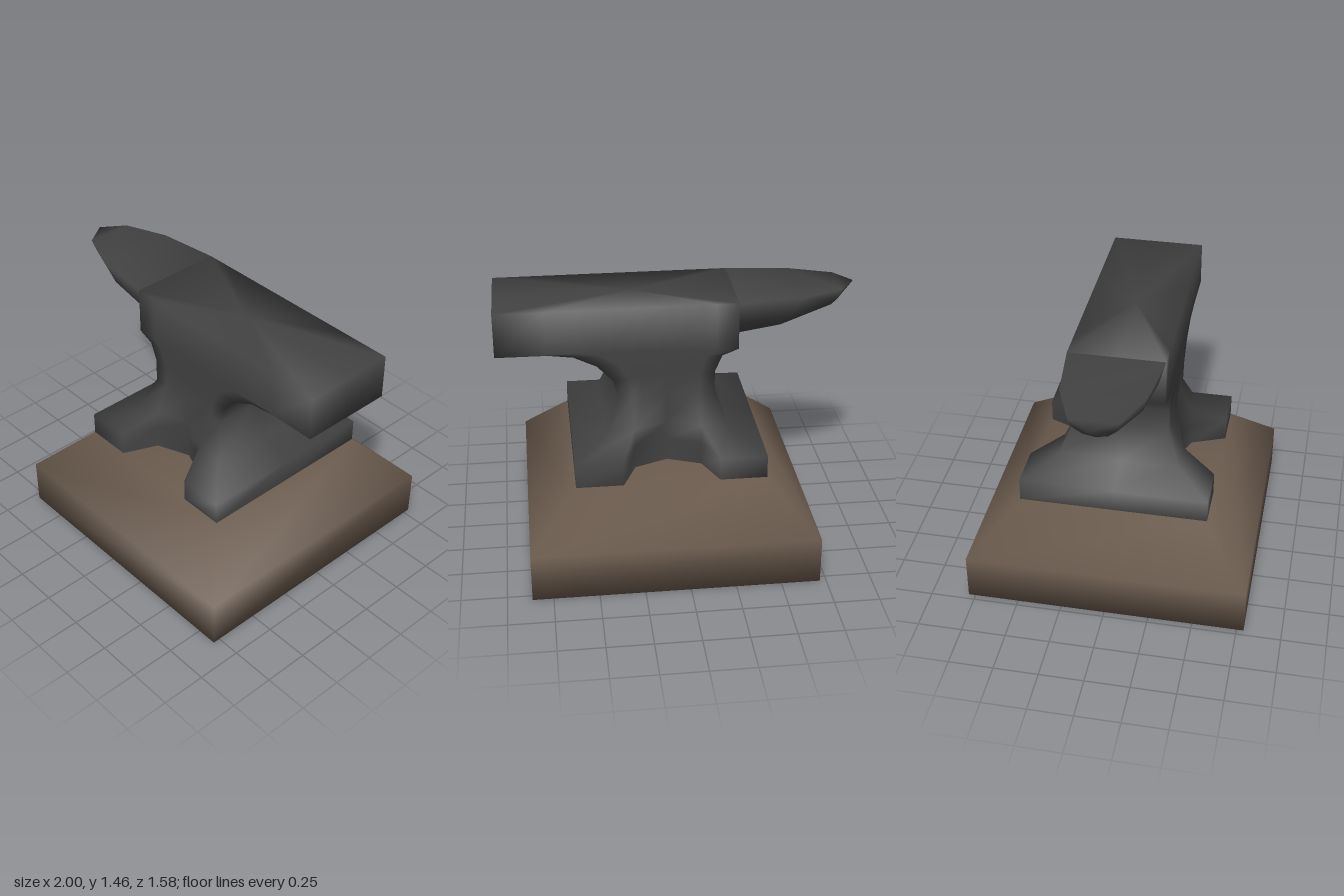
import * as THREE from 'three';
import { mergeVertices } from 'three/addons/utils/BufferGeometryUtils.js';

const CX = 0.075; // centre of base and waist along x

// Smooth skin through rings of [x, y, z] points, with optional fan caps
function loft(rings, capStart, capEnd) {
  const n = rings[0].length;
  const pos = rings.flat(2);
  const index = [];
  for (let i = 0; i < rings.length - 1; i++) {
    for (let j = 0; j < n; j++) {
      const k = (j + 1) % n;
      const a = i * n + j, b = i * n + k, c = b + n, d = a + n;
      index.push(a, b, c, a, c, d);
    }
  }
  const cap = (r, flip) => {
    const mid = [0, 1, 2].map(c => rings[r].reduce((s, p) => s + p[c], 0) / n);
    const m = pos.length / 3;
    pos.push(...mid);
    for (let j = 0; j < n; j++) {
      const a = r * n + j, b = r * n + (j + 1) % n;
      if (flip) index.push(m, b, a);
      else index.push(m, a, b);
    }
  };
  if (capStart) cap(0, true);
  if (capEnd) cap(rings.length - 1, false);
  let geo = new THREE.BufferGeometry();
  geo.setAttribute('position', new THREE.Float32BufferAttribute(pos, 3));
  geo.setIndex(index);
  geo = mergeVertices(geo, 1e-4);
  geo.computeVertexNormals();
  return geo;
}

// Square ring for the base
const square = (y, h) => [[1, 1], [1, -1], [-1, -1], [-1, 1]].map(([x, z]) => [CX + x * h, y, z * h]);

// Full ring of 16 points from five points of one quarter, side middle to front middle
function mirrorQuarter(point) {
  const ring = [];
  const add = (ids, sx, sz) => ids.forEach(i => {
    const [x, y, z] = point(i, sx);
    ring.push([CX + sx * x, y, sz * z]);
  });
  add([0, 1, 2, 3, 4], 1, -1);
  add([3, 2, 1, 0], -1, -1);
  add([1, 2, 3, 4], -1, 1);
  add([3, 2, 1], 1, 1);
  return ring;
}

// Splayed feet with a notch front and back
const footRing = y => {
  const q = [[0.525, y, 0], [0.525, y, 0.53], [0.265, y, 0.53], [0.185, y, 0.34], [0, y, 0.265]];
  return mirrorQuarter(i => q[i]);
};
const shoulder = [[0.34, 0.74, 0], [0.34, 0.745, 0.34], [0.185, 0.765, 0.34], [0.185, 0.765, 0.34], [0, 0.77, 0.265]];

// Flat-sided ring of waist and table, with its own left and right ends
function bodyRing([xL, yL, xR, yR]) {
  const along = [1, 1, 0.7, 0.5, 0];
  const yMid = (yL + yR) / 2;
  return mirrorQuarter((i, sx) => {
    const end = sx > 0 ? xR - CX : CX - xL;
    const y = sx > 0 ? yR : yL;
    return [along[i] * end, yMid + (y - yMid) * along[i], i === 0 ? 0 : 0.265];
  });
}

// Half-round section of the horn, leaning so the underside trails the top
function hornRing([xTop, xLow, w, d]) {
  const ring = [];
  for (let i = 0; i <= 6; i++) {
    const t = Math.PI * i / 6, s = Math.sin(t);
    ring.push([xTop + (xLow - xTop) * s, 1.455 - d * s, -w * Math.cos(t)]);
  }
  return ring;
}

export function createModel() {
  const iron = new THREE.MeshStandardMaterial({ color: 0x424242 });
  iron.name = 'darkIron';
  const wood = new THREE.MeshStandardMaterial({ color: 0x6a5a4d });
  wood.name = 'brownBase';

  const group = new THREE.Group();
  group.name = 'anvil';
  const add = (name, geo, mat) => {
    const mesh = new THREE.Mesh(geo, mat);
    mesh.name = name;
    group.add(mesh);
  };

  // Tapered block
  add('base', loft([square(0, 0.79), square(0.265, 0.79), square(0.53, 0.528)], true, true), wood);

  // Feet, waist, table and heel in one skin
  const body = [
    [-0.19, 0.925, 0.34, 0.925],
    [-0.19, 1.06, 0.37, 1.035],
    [-0.23, 1.155, 0.455, 1.125],
    [-0.32, 1.19, 0.58, 1.185],
    [-0.32, 1.19, 0.73, 1.205],
    [-0.32, 1.19, 1, 1.205],
    [-0.32, 1.455, 1, 1.455],
  ].map(bodyRing);
  add('body', loft([footRing(0.53), footRing(0.66), mirrorQuarter(i => shoulder[i]), ...body], false, true), iron);

  // Pointed horn
  const horn = [
    [-0.32, -0.32, 0.265, 0.265],
    [-0.67, -0.56, 0.225, 0.23],
    [-0.91, -0.86, 0.13, 0.13],
    [-1, -1, 0, 0],
  ].map(hornRing);
  add('horn', loft(horn, false, false), iron);

  return group;
}
